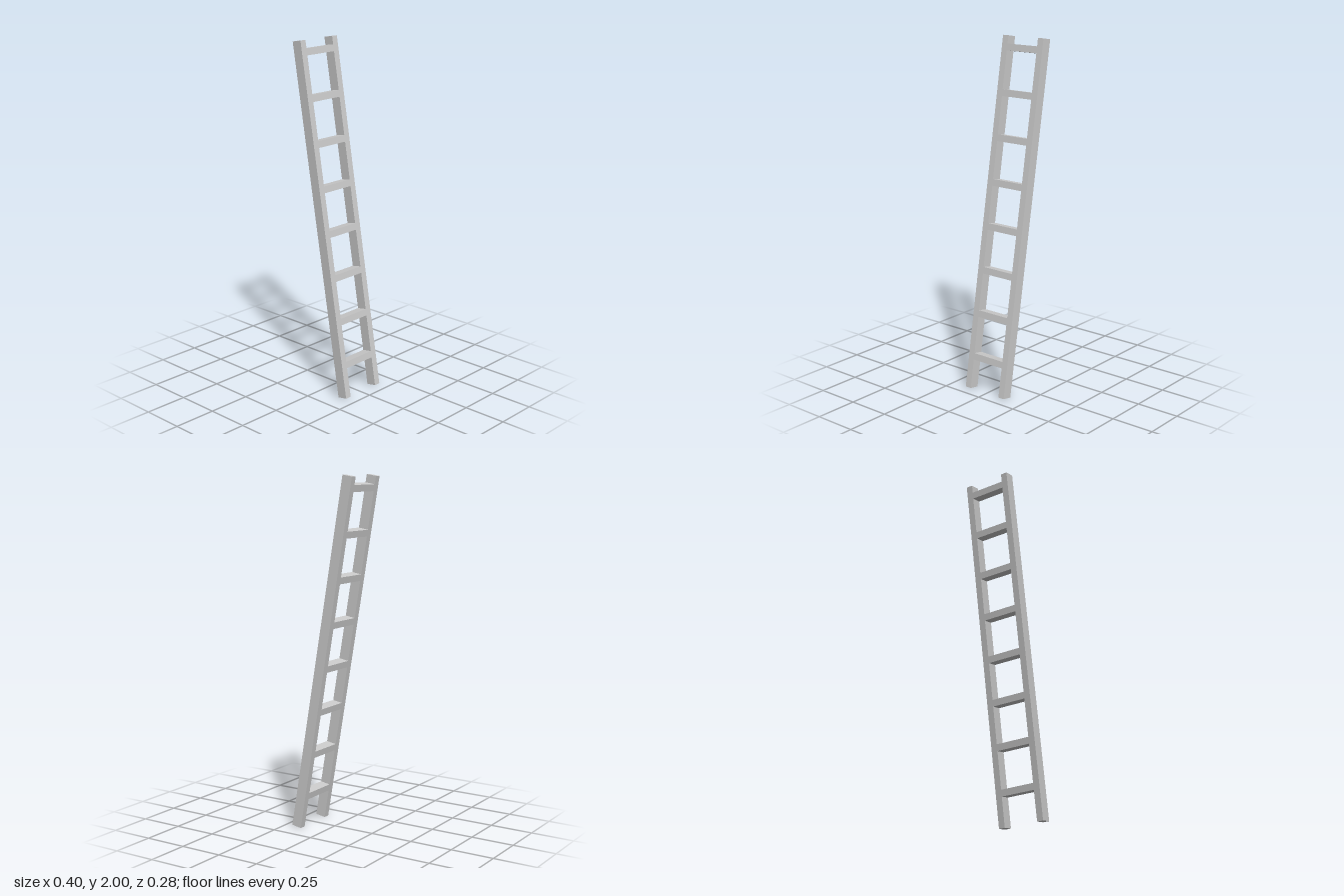
import * as THREE from 'three';

export function createModel() {
  const model = new THREE.Group();
  model.name = 'ladder';
  const material = new THREE.MeshStandardMaterial({ color: 0xcccccc, flatShading: true });
  const tilt = 0.169, length = 2.019, depth = 0.06;
  const railWidth = 0.038, halfWidth = 0.142;
  const rungCount = 8, rungPitch = 0.2523, rungHeight = 0.038, rungCentre = 0.062;

  // Upright frame, leaned over as a whole
  const frame = new THREE.Group();
  frame.name = 'leaningFrame';
  frame.position.y = 1;
  frame.rotation.z = tilt;
  model.add(frame);

  const addBox = (name, w, h, d, y, z) => {
    const mesh = new THREE.Mesh(new THREE.BoxGeometry(w, h, d), material);
    mesh.name = name;
    mesh.position.set(0, y, z);
    frame.add(mesh);
  };

  // Two side rails
  for (const side of [-1, 1]) {
    addBox(side > 0 ? 'frontRail' : 'backRail', depth, length, railWidth, 0, side * (halfWidth - railWidth / 2));
  }

  // Evenly spaced rungs fitted between the rails
  const rungLength = 2 * (halfWidth - railWidth);
  for (let i = 0; i < rungCount; i++) {
    const y = rungCentre + (i - (rungCount - 1) / 2) * rungPitch;
    addBox(`rung${i + 1}`, depth, rungHeight, rungLength, y, 0);
  }
  return model;
}
